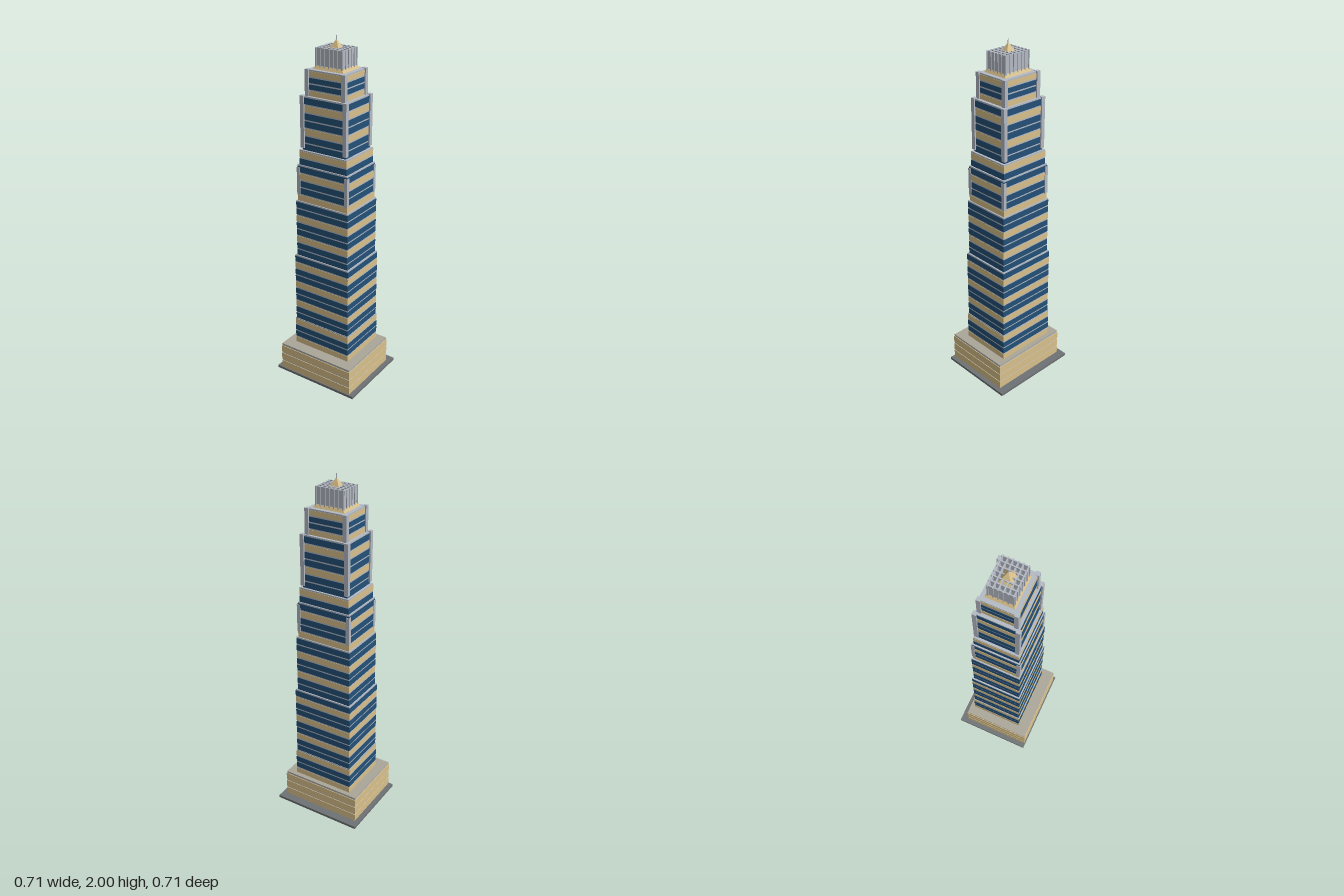
import * as THREE from 'three';

const paint = (name, color) => {
  const m = new THREE.MeshStandardMaterial({ color });
  m.name = name;
  return m;
};

export function createModel() {
  const stone = paint('sandstone', 0xd8c08a);
  const glass = paint('blueGlass', 0x235078);
  const metal = paint('paleMetal', 0xb4bac4);
  const roofing = paint('roofing', 0xaaa698);
  const paving = paint('paving', 0x6e7274);

  const model = new THREE.Group();
  model.name = 'tower';
  const site = new THREE.Group();
  site.name = 'rotatedBuilding';
  site.rotation.y = -0.805;
  model.add(site);

  // Box standing on y0, w along local x and d along local z
  const block = (name, mat, w, d, y0, y1, x = 0, z = 0) => {
    const mesh = new THREE.Mesh(new THREE.BoxGeometry(w, y1 - y0, d), mat);
    mesh.name = name;
    mesh.position.set(x, (y0 + y1) / 2, z);
    site.add(mesh);
    return mesh;
  };
  // Plan size from the reach of the corners
  const planW = (reach) => reach * 1.54;
  const planD = (reach) => reach * 1.297;

  // Ground plate and three-storey podium
  block('groundPlate', paving, 0.54, 0.463, 0, 0.015);
  const podZ = 0.02;
  for (let i = 0; i < 3; i++) {
    const y = 0.015 + i * 0.053;
    block('podiumStorey', stone, 0.485, 0.41, y, y + 0.045, 0, podZ);
    block('podiumLedge', metal, 0.478, 0.403, y + 0.045, y + 0.053, 0, podZ);
  }
  block('podiumRoof', roofing, 0.479, 0.404, 0.174, 0.18, 0, podZ);

  // Forty storeys: S is stone, B is blue glass, listed from the bottom
  const storeys = 'SBBSBBSBBSBBSBBBSBBSBBSBBSBBSBBSBBSBSBBS';
  const tiers = [[4, 0.24], [14, 0.234], [22, 0.221], [27, 0.21], [29, 0.198], [36, 0.179], [40, 0.154]];
  const floorY = (i) => (i <= 36 ? 0.18 + i * 0.042 : 1.692 + (i - 36) * 0.0345);
  [...storeys].forEach((kind, i) => {
    const reach = tiers.find(([end]) => i < end)[1];
    const y0 = floorY(i), y1 = floorY(i + 1);
    block(kind === 'S' ? 'stoneStorey' : 'glassStorey', kind === 'S' ? stone : glass,
      planW(reach), planD(reach), y0, y1 - 0.008);
    block('floorSlab', metal, planW(reach) - 0.003, planD(reach) - 0.003, y1 - 0.008, y1);
  });

  // Corner piers on the upper tiers: corner reach, thickness, bottom, top
  const piers = [[0.2, 0.02, 1.14, 1.3], [0.174, 0.023, 1.41, 1.695], [0.147, 0.023, 1.69, 1.832]];
  for (const [reach, t, y0, y1] of piers)
    for (const sx of [-1, 1])
      for (const sz of [-1, 1])
        block('cornerPier', metal, t, t, y0, y1, sx * planW(reach) / 2, sz * planD(reach) / 2);

  // Pyramid roof rising through the crown
  const pyramidShape = new THREE.ConeGeometry(Math.SQRT1_2, 1, 4, 1).toNonIndexed();
  pyramidShape.rotateY(Math.PI / 4);
  pyramidShape.scale(0.186, 0.15, 0.152);
  pyramidShape.computeVertexNormals();
  const pyramid = new THREE.Mesh(pyramidShape, stone);
  pyramid.name = 'pyramidRoof';
  pyramid.position.y = 1.905;
  site.add(pyramid);

  // Crown of crossing upright fins
  const crownW = 0.172, crownD = 0.141, fin = 0.006;
  for (let i = 0; i < 7; i++)
    block('crossFin', metal, fin, crownD, 1.83, 1.94, (i / 6 - 0.5) * (crownW - 0.014));
  for (let i = 0; i < 6; i++)
    block('longFin', metal, crownW, fin, 1.83, 1.9395, 0, (i / 5 - 0.5) * (crownD - 0.014));

  // Spire
  const spire = new THREE.Mesh(new THREE.CylinderGeometry(0.002, 0.003, 0.04, 8), metal);
  spire.name = 'spire';
  spire.position.y = 1.98;
  site.add(spire);

  return model;
}
